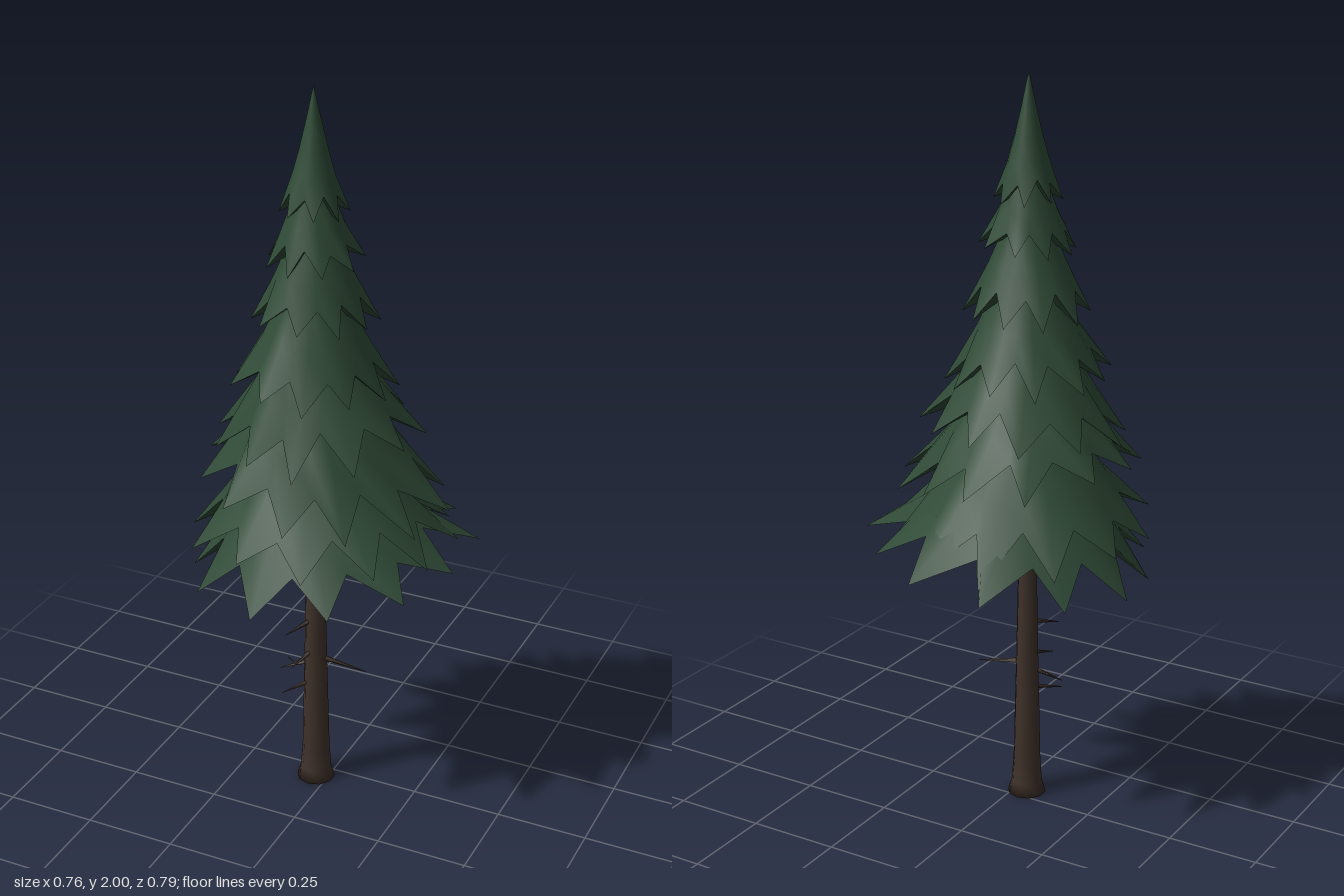
import * as THREE from 'three';

const AXIS_X = -0.035, AXIS_Z = 0.04;

// Repeatable variation in -1..1
const vary = (n) => {
  const s = Math.sin(n * 12.9898 + 4.1) * 43758.5453;
  return (s - Math.floor(s)) * 2 - 1;
};

// One skirt of needles: a flared cone with a zigzag hem and a shallow hollow underside.
// y: mean tip height, r: tip radius, h: height, n: points, a: start angle,
// off: sideways shift of the hem [x, z], tilt: hem slope [x, z], top: upper radius ratio
function tierGeometry({ y, r, h, n, a, off = [0, 0], tilt = [0, 0], top = 0.05 }, seed) {
  const cols = n * 2;
  const upper = [[0, top], [0.25, 0.19], [0.5, 0.4], [0.7, 0.6]];
  const under = [1 - (0.43 * r) / h, 0.05];
  // The hem is doubled so that it stays a sharp edge
  const rings = [...upper, 'hem', 'hem', under];
  const pos = [], index = [];
  rings.forEach((ring, j) => {
    for (let i = 0; i < cols; i++) {
      let [t, k] = ring;
      let ang = a + (i / cols) * Math.PI * 2;
      if (ring === 'hem') {
        [t, k] = i % 2 === 0 ? [1, 1] : [0.84, 0.72];
        k *= 1 + 0.05 * vary(seed * 31 + i);
        t += 0.03 * vary(seed * 17 + i + 5);
        ang += 0.05 * vary(seed * 7 + i + 9);
      }
      const x = Math.cos(ang) * r * k, z = Math.sin(ang) * r * k;
      pos.push(
        x + off[0] * k * k,
        y + h * (1 - t) + (tilt[0] * x + tilt[1] * z) * t,
        z + off[1] * k * k
      );
      if (j < rings.length - 1 && j !== upper.length) {
        const p = j * cols + i, q = j * cols + (i + 1) % cols;
        index.push(p, q, p + cols, q, q + cols, p + cols);
      }
    }
  });
  const g = new THREE.BufferGeometry();
  g.setAttribute('position', new THREE.Float32BufferAttribute(pos, 3));
  g.setIndex(index);
  g.computeVertexNormals();
  return g;
}

// Tapered twig between two points
function twig(from, to, radius, material) {
  const dir = to.clone().sub(from);
  const g = new THREE.CylinderGeometry(0.0008, radius, dir.length(), 5);
  const m = new THREE.Mesh(g, material);
  m.position.copy(from).addScaledVector(dir, 0.5);
  m.quaternion.setFromUnitVectors(new THREE.Vector3(0, 1, 0), dir.normalize());
  m.name = 'twig';
  return m;
}

export function createModel() {
  const model = new THREE.Group();
  model.name = 'coniferTree';
  const tree = new THREE.Group();
  tree.name = 'tree';
  tree.position.set(AXIS_X, 0, AXIS_Z);
  model.add(tree);

  const bark = new THREE.MeshStandardMaterial({ color: 0x3f322a });
  const needles = new THREE.MeshStandardMaterial({ color: 0x2f4a36, side: THREE.DoubleSide });

  // Trunk with a flared foot
  const profile = [[0, 0], [0.053, 0], [0.043, 0.035], [0.038, 0.1], [0.031, 0.4], [0.023, 0.8], [0.012, 1.4], [0, 1.75]]
    .map(([r, y]) => new THREE.Vector2(r, y));
  const trunk = new THREE.Mesh(new THREE.LatheGeometry(profile, 10), bark);
  trunk.name = 'trunk';
  tree.add(trunk);

  // Dead twigs: start height, then end point
  const twigs = new THREE.Group();
  twigs.name = 'twigs';
  const twigEnds = [
    [0.515, -0.05, 0.49, 0.085],
    [0.38, -0.095, 0.345, 0.03],
    [0.42, -0.03, 0.395, 0.09],
    [0.32, -0.065, 0.3, 0.08],
    [0.395, 0.145, 0.37, -0.015],
  ];
  for (const [y0, x, y, z] of twigEnds) {
    twigs.add(twig(new THREE.Vector3(0, y0, 0), new THREE.Vector3(x, y, z), 0.009, bark));
  }
  // Small fork on the left-hand twig
  twigs.add(twig(new THREE.Vector3(-0.05, 0.362, 0.016), new THREE.Vector3(-0.085, 0.365, 0.0), 0.004, bark));
  tree.add(twigs);

  // Overlapping skirts of needles, bottom to top
  const tiers = [
    { y: 0.715, r: 0.385, h: 0.5, n: 12, a: -0.37, off: [0.035, -0.04], tilt: [0.1, -0.06] },
    { y: 0.79, r: 0.36, h: 0.5, n: 12, a: -0.28, off: [0.02, -0.01], tilt: [0.02, 0.08] },
    { y: 0.94, r: 0.325, h: 0.5, n: 12, a: -0.1, off: [0.025, -0.005], tilt: [-0.14, -0.02] },
    { y: 1.07, r: 0.275, h: 0.48, n: 11, a: 0.2, off: [0.005, -0.015], tilt: [0.06, -0.05] },
    { y: 1.21, r: 0.22, h: 0.46, n: 11, a: 0.1, off: [-0.005, -0.01], tilt: [0, 0.05] },
    { y: 1.39, r: 0.17, h: 0.4, n: 10, a: 0.15, off: [-0.005, -0.01], tilt: [0.05, 0.05] },
    { y: 1.545, r: 0.128, h: 0.34, n: 9, a: 0.3, tilt: [0.04, -0.05] },
    { y: 1.675, r: 0.09, h: 0.325, n: 8, a: 0.35, tilt: [-0.05, 0.05], top: 0 },
  ];
  const foliage = new THREE.Group();
  foliage.name = 'foliage';
  tiers.forEach((tier, i) => {
    const m = new THREE.Mesh(tierGeometry(tier, i + 1), needles);
    m.name = `needleTier${i + 1}`;
    foliage.add(m);
  });
  tree.add(foliage);

  return model;
}
